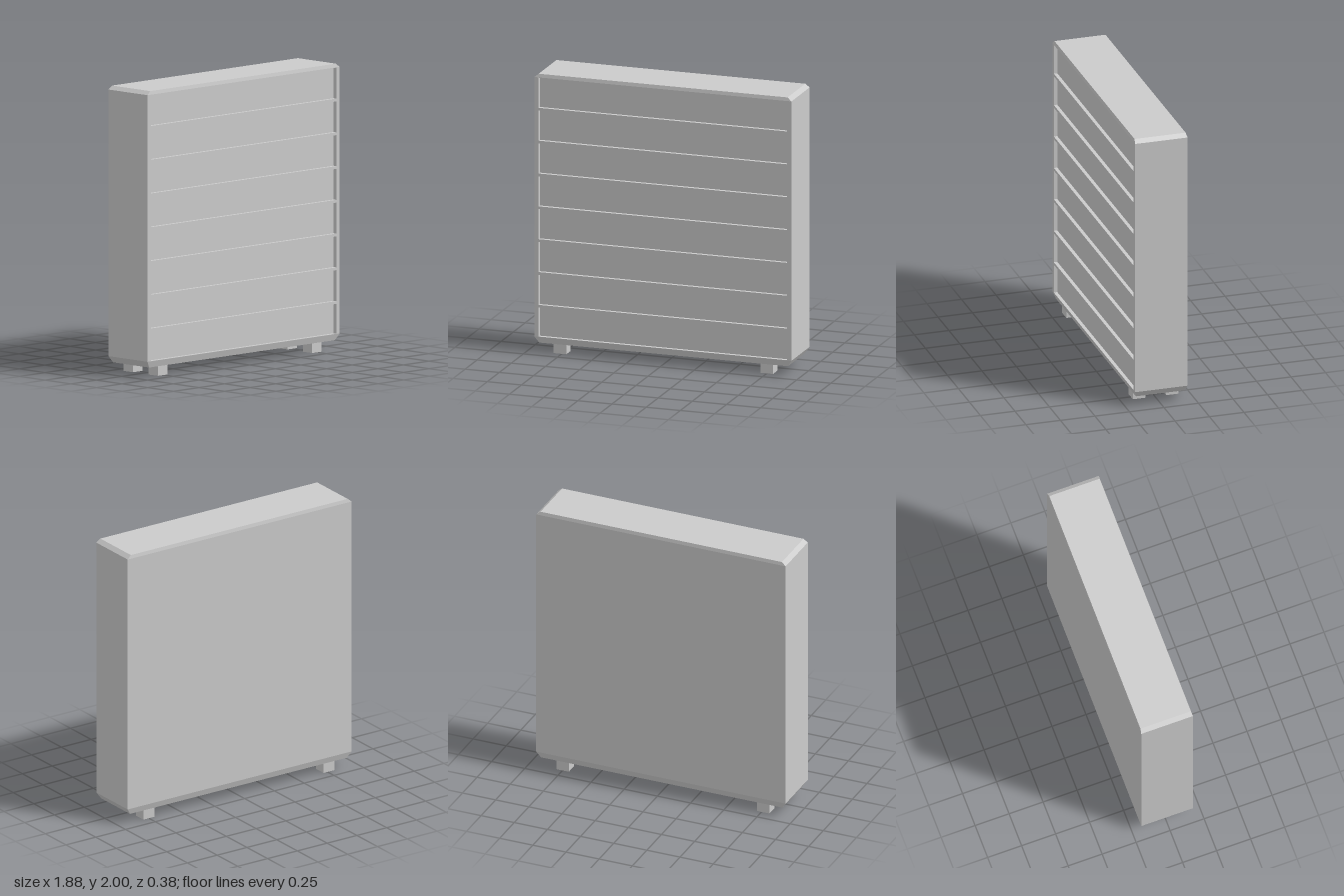
import * as THREE from 'three';

const material = new THREE.MeshStandardMaterial({ color: 0xcccccc, flatShading: true });

// Solid through rectangular sections [y, halfWidth, zBack, zFront], bottom to top
function loft(sections) {
  const rings = sections.map(([y, w, b, f]) => [[-w, y, f], [w, y, f], [w, y, b], [-w, y, b]]);
  const pos = [];
  const quad = (a, b, c, d) => pos.push(...a, ...b, ...c, ...a, ...c, ...d);
  for (let i = 0; i < rings.length - 1; i++) {
    for (let j = 0; j < 4; j++) {
      const k = (j + 1) % 4;
      quad(rings[i][j], rings[i][k], rings[i + 1][k], rings[i + 1][j]);
    }
  }
  const first = rings[0], last = rings[rings.length - 1];
  quad(first[3], first[2], first[1], first[0]);
  quad(last[0], last[1], last[2], last[3]);
  const g = new THREE.BufferGeometry();
  g.setAttribute('position', new THREE.Float32BufferAttribute(pos, 3));
  g.computeVertexNormals();
  return g;
}

function rectangle(target, x0, y0, x1, y1) {
  target.moveTo(x0, y0);
  target.lineTo(x1, y0);
  target.lineTo(x1, y1);
  target.lineTo(x0, y1);
  target.closePath();
  return target;
}

export function createModel() {
  const group = new THREE.Group();
  const add = (name, geometry, x = 0, y = 0, z = 0) => {
    const mesh = new THREE.Mesh(geometry, material);
    mesh.name = name;
    mesh.position.set(x, y, z);
    group.add(mesh);
  };

  const bottom = 0.115, top = 1.975, front = 0.19, recess = 0.025;

  // Cabinet body with chamfered base and top, set back behind the front frame
  add('cabinetBody', loft([
    [0.07, 0.91, -0.175, 0.175],
    [bottom, 0.94, -front, front],
    [bottom, 0.94, -front, front - recess],
    [top, 0.94, -front, front - recess],
    [top, 0.94, -front, front],
    [2, 0.91, -0.185, 0.185],
  ]));

  // Front frame with eight shallow bays between the slats
  const frame = rectangle(new THREE.Shape(), -0.94, bottom, 0.94, top);
  for (let i = 0; i < 8; i++) {
    const y1 = 1.973 - i * 0.2355;
    const y0 = Math.max(y1 - 0.216, bottom + 0.002);
    frame.holes.push(rectangle(new THREE.Path(), -0.908, y0, 0.908, y1));
  }
  add('frontFrame', new THREE.ExtrudeGeometry(frame, { depth: recess, bevelEnabled: false }),
    0, 0, front - recess);

  // Four square feet
  const foot = new THREE.BoxGeometry(0.093, 0.08, 0.091);
  for (const [x, xName] of [[-0.763, 'Right'], [0.749, 'Left']]) {
    for (const [z, zName] of [[0.115, 'front'], [-0.126, 'back']]) {
      add(`${zName}${xName}Foot`, foot, x, 0.04, z);
    }
  }
  return group;
}
